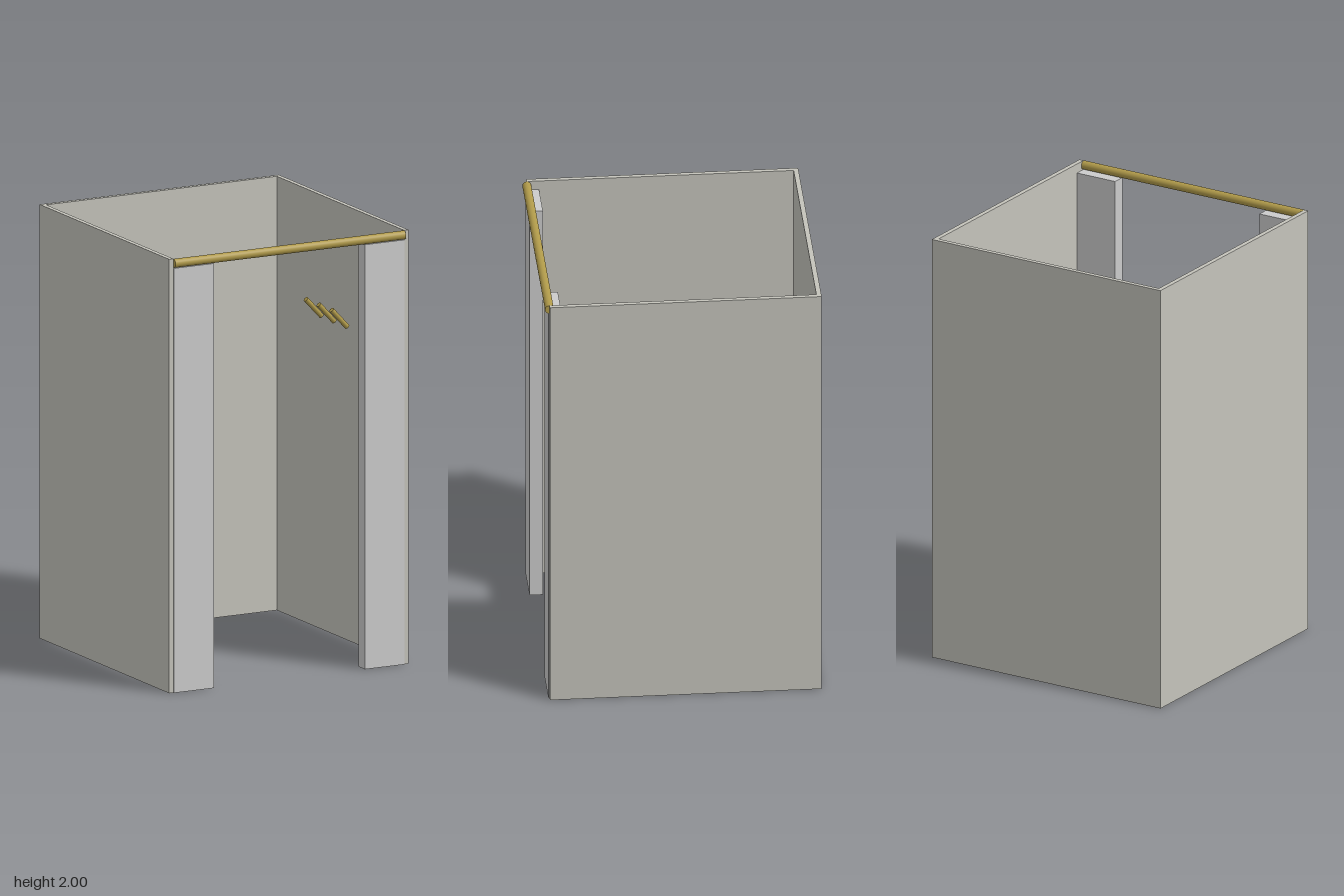
import * as THREE from 'three';

export function createModel() {
  const group = new THREE.Group();
  group.name = 'changingCubicle';

  const wallMat = new THREE.MeshStandardMaterial({ color: 0xc4c3bb });
  const panelMat = new THREE.MeshStandardMaterial({ color: 0xcccccc });
  const brassMat = new THREE.MeshStandardMaterial({ color: 0xb09a4a });

  // Box given by its minimum and maximum corners
  const addBox = (name, [x0, y0, z0], [x1, y1, z1], material) => {
    const mesh = new THREE.Mesh(new THREE.BoxGeometry(x1 - x0, y1 - y0, z1 - z0), material);
    mesh.position.set((x0 + x1) / 2, (y0 + y1) / 2, (z0 + z1) / 2);
    mesh.name = name;
    group.add(mesh);
  };

  // Walls
  addBox('backWall', [-0.61, 0, -0.622], [0.61, 2, -0.6], wallMat);
  addBox('leftWall', [0.588, 0, -0.6], [0.61, 2, 0.602], wallMat);
  addBox('rightWall', [-0.61, 0, -0.6], [-0.588, 2, 0.602], wallMat);

  // Drawn-back curtain panels on either side of the doorway
  addBox('leftCurtain', [0.385, 0, 0.547], [0.588, 1.957, 0.607], panelMat);
  addBox('rightCurtain', [-0.588, 0, 0.547], [-0.385, 1.957, 0.607], panelMat);

  // Curtain rod across the top of the doorway
  const rod = new THREE.Mesh(new THREE.CylinderGeometry(0.02, 0.02, 1.176, 24), brassMat);
  rod.rotation.z = Math.PI / 2;
  rod.position.set(0, 1.979, 0.602);
  rod.name = 'curtainRod';
  group.add(rod);

  // Three pegs on the left wall, leaning up and away from it
  const pegGeometry = new THREE.CylinderGeometry(0.012, 0.012, 0.12, 16);
  const lean = new THREE.Vector3(-0.08, 0.085, 0.004).normalize();
  for (let i = 0; i < 3; i++) {
    const peg = new THREE.Mesh(pegGeometry, brassMat);
    peg.quaternion.setFromUnitVectors(new THREE.Vector3(0, 1, 0), lean);
    peg.position.set(0.522, 1.5, -0.13 + i * 0.121);
    peg.name = 'coatPeg' + (i + 1);
    group.add(peg);
  }

  return group;
}
